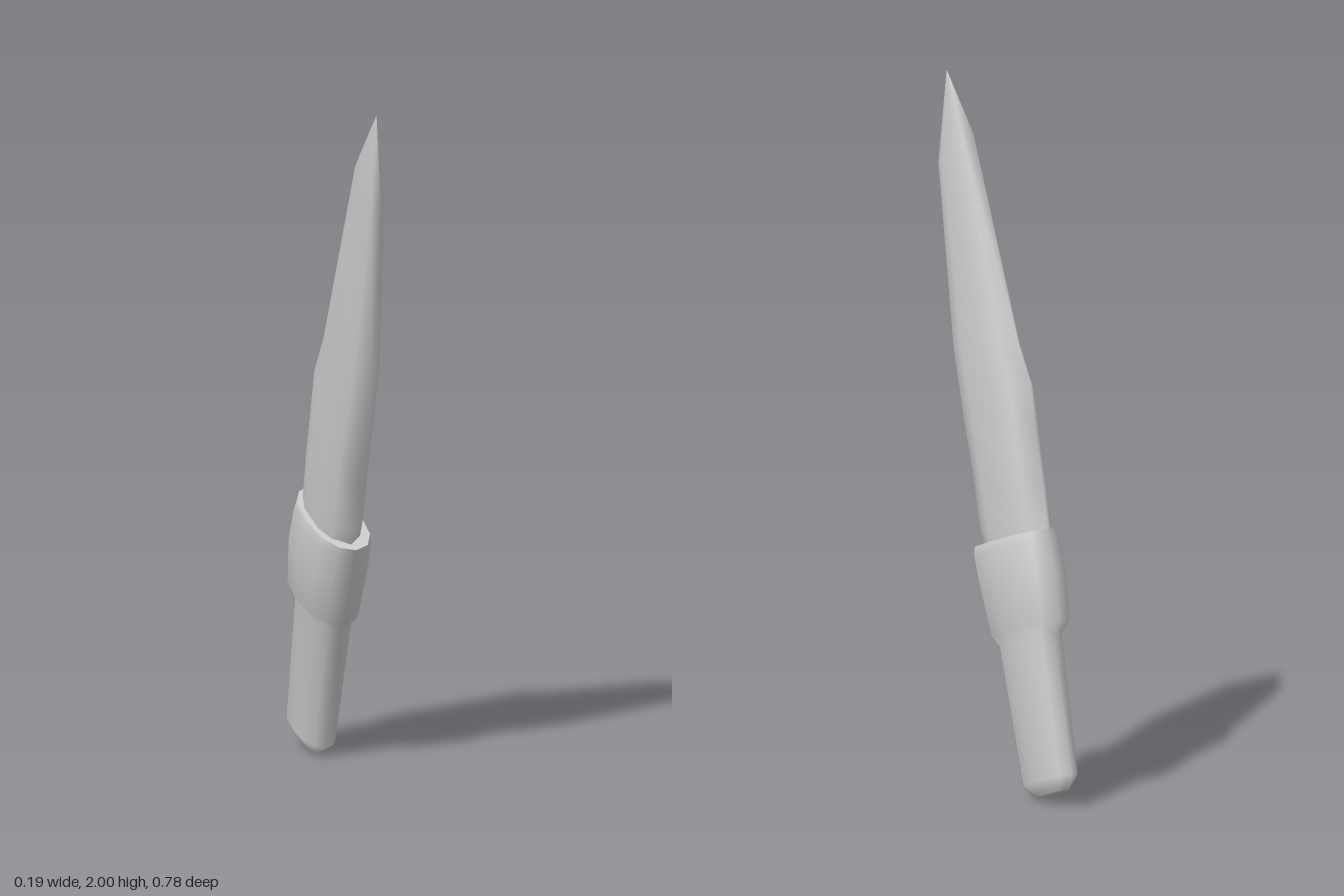
import * as THREE from 'three';
import { mergeVertices } from 'three/addons/utils/BufferGeometryUtils.js';

// Each section: [front z, front y, back z, back y, centre x, half width]
// The outline gives points [t from front to back, share of half width].
function loft(sections, outline) {
  const n = outline.length, pos = [], idx = [];
  const ring = ([fz, fy, bz, by, cx, w]) => {
    for (const [t, s] of outline) pos.push(cx + w * s, fy + (by - fy) * t, fz + (bz - fz) * t);
  };
  sections.forEach(ring);
  for (let r = 0; r < sections.length - 1; r++)
    for (let i = 0; i < n; i++) {
      const a = r * n + i, b = r * n + (i + 1) % n;
      idx.push(a, b, a + n, b, b + n, a + n);
    }
  // End caps have their own vertices so that the rims stay sharp
  const cap = (section, up) => {
    const start = pos.length / 3;
    ring(section);
    for (let i = 1; i < n - 1; i++)
      idx.push(start, start + (up ? i : i + 1), start + (up ? i + 1 : i));
  };
  cap(sections[0], false);
  if (sections[sections.length - 1][5] > 0) cap(sections[sections.length - 1], true);
  const geo = new THREE.BufferGeometry();
  geo.setAttribute('position', new THREE.Float32BufferAttribute(pos, 3));
  geo.setIndex(idx);
  geo.computeVertexNormals();
  return mergeVertices(geo);
}

// Mirrors the +x side of an outline that runs from front to back
const mirrored = (half) => [...half, ...half.slice(1, -1).reverse().map(([t, s]) => [t, -s])];

export function createModel() {
  const model = new THREE.Group();
  const material = new THREE.MeshStandardMaterial({ color: 0xcccccc });
  const add = (name, sections, outline) => {
    const mesh = new THREE.Mesh(loft(sections, outline), material);
    mesh.name = name;
    model.add(mesh);
  };

  // Oval outline for the handle and collar, pointed outline for the blade
  const oval = mirrored([[0, 0], [0.06, 0.52], [0.22, 0.87], [0.5, 1], [0.78, 0.87], [0.94, 0.52], [1, 0]]);
  const edged = mirrored([[0, 0], [0.13, 0.72], [0.32, 1], [0.66, 0.97], [0.86, 0.65], [1, 0]]);

  // Handle with rounded butt, widening into the collar
  add('handleAndCollar', [
    [-0.22, 0.004, -0.36, 0.05, 0.018, 0.03],
    [-0.17, 0.03, -0.39, 0.10, 0.018, 0.057],
    [-0.04, 0.41, -0.285, 0.49, 0.008, 0.067],
    [0.0, 0.43, -0.305, 0.53, 0.003, 0.086],
    [0.055, 0.555, -0.275, 0.66, -0.001, 0.095],
    [0.095, 0.645, -0.243, 0.755, -0.002, 0.092],
    [0.105, 0.67, -0.235, 0.78, -0.003, 0.083],
  ], oval);

  // Blade, slightly bent to one side and narrowing to the tip
  add('blade', [
    [0.065, 0.665, -0.232, 0.765, -0.006, 0.061],
    [0.1, 0.72, -0.2, 0.9, -0.01, 0.062],
    [0.14, 0.87, -0.155, 1.05, -0.013, 0.063],
    [0.2, 1.0, -0.12, 1.18, -0.019, 0.059],
    [0.27, 1.22, -0.05, 1.28, -0.023, 0.053],
    [0.39, 1.72, 0.22, 1.84, -0.045, 0.03],
    [0.365, 2.0, 0.365, 2.0, -0.049, 0],
  ], edged);

  return model;
}
